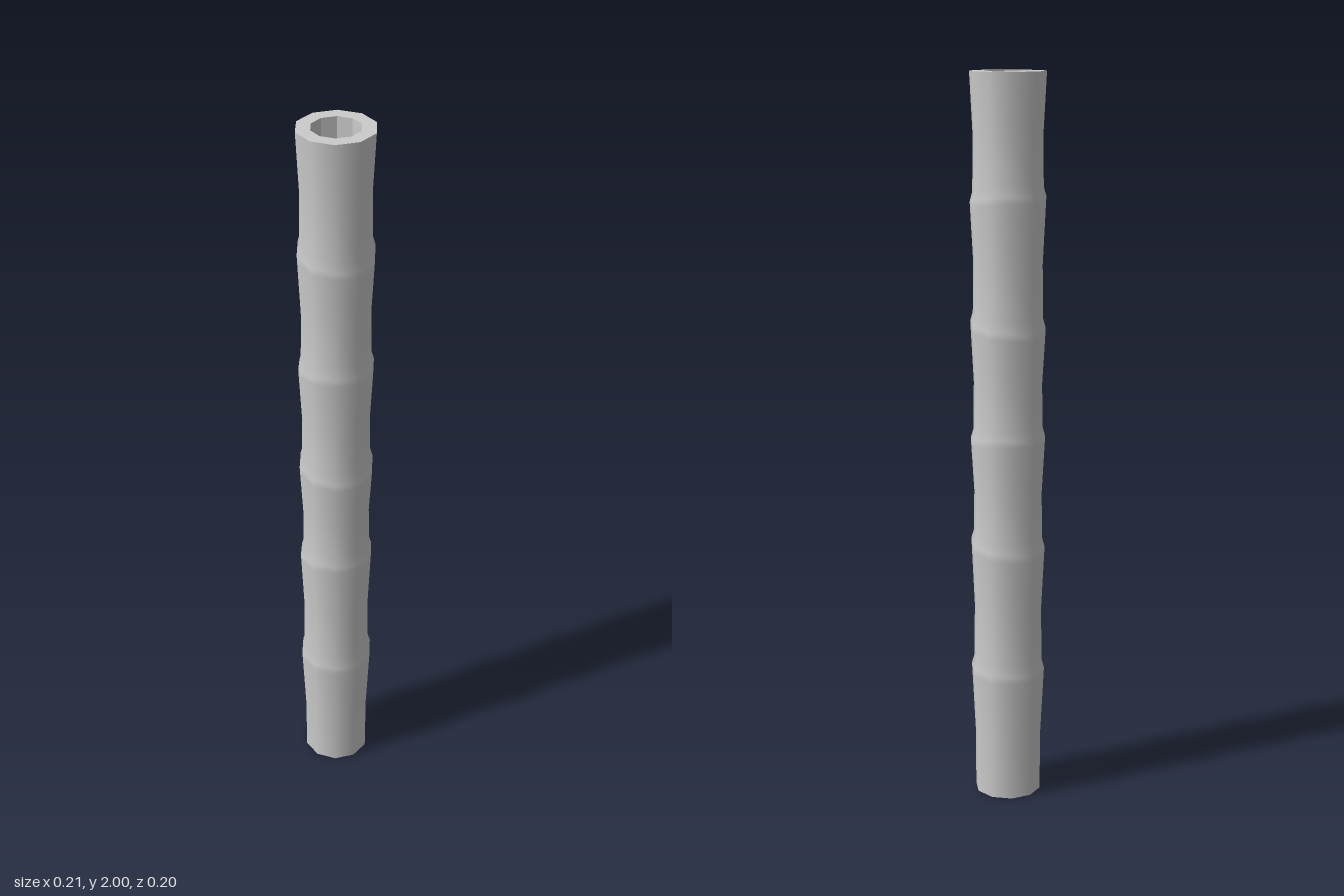
import * as THREE from 'three';

const SIDES = 10;
const HEIGHT = 2;
const OUTER = 0.103; // radius at the joints and the mouth
const WAIST = 0.093; // radius between joints
const BORE = 0.065; // radius of the open mouth
const BORE_FLOOR = 1.8;

// Each joint: height, and how far it leans towards the front (+) or back (-)
const JOINTS = [[0.36, 0], [0.72, 0.012], [1.02, -0.012], [1.33, 0.012], [1.665, -0.015]];

function lathe(points) {
  return new THREE.LatheGeometry(points.map(([r, y]) => new THREE.Vector2(r, y)), SIDES, Math.PI / 2);
}

export function createModel() {
  const group = new THREE.Group();
  group.name = 'bambooStalk';
  const smooth = new THREE.MeshStandardMaterial({ color: 0xcccccc });
  const flat = new THREE.MeshStandardMaterial({ color: 0xcccccc, flatShading: true });

  const add = (name, geometry, material) => {
    const mesh = new THREE.Mesh(geometry, material);
    mesh.name = name;
    group.add(mesh);
  };

  // Outer wall: every section flares up to its joint, then steps back in
  const profile = [[WAIST - 0.001, 0], [WAIST, 0.17]];
  JOINTS.forEach(([y], i) => {
    const next = i + 1 < JOINTS.length ? JOINTS[i + 1][0] : HEIGHT;
    profile.push([OUTER - 0.001, y - 0.015], [OUTER, y + 0.005], [WAIST + 0.003, y + 0.03]);
    profile.push([WAIST + 0.001, y + (next - y) * 0.5]);
  });
  profile.push([OUTER, HEIGHT]);
  const wall = lathe(profile);

  // Lean the joints slightly so they are not perfectly level
  const pos = wall.attributes.position;
  for (let i = 0; i < pos.count; i++) {
    const y = pos.getY(i);
    const joint = JOINTS.find(([h]) => Math.abs(y - h) < 0.05);
    if (joint) pos.setY(i, y + joint[1] * pos.getZ(i) / OUTER);
  }
  add('stalkWall', wall, smooth);

  // Flat rim, hollow mouth and closed base
  add('rim', lathe([[OUTER, HEIGHT], [BORE, HEIGHT]]), flat);
  add('hollow', lathe([[BORE, HEIGHT], [BORE, BORE_FLOOR], [0, BORE_FLOOR]]), flat);
  add('base', lathe([[0, 0], [WAIST - 0.001, 0]]), flat);

  return group;
}
